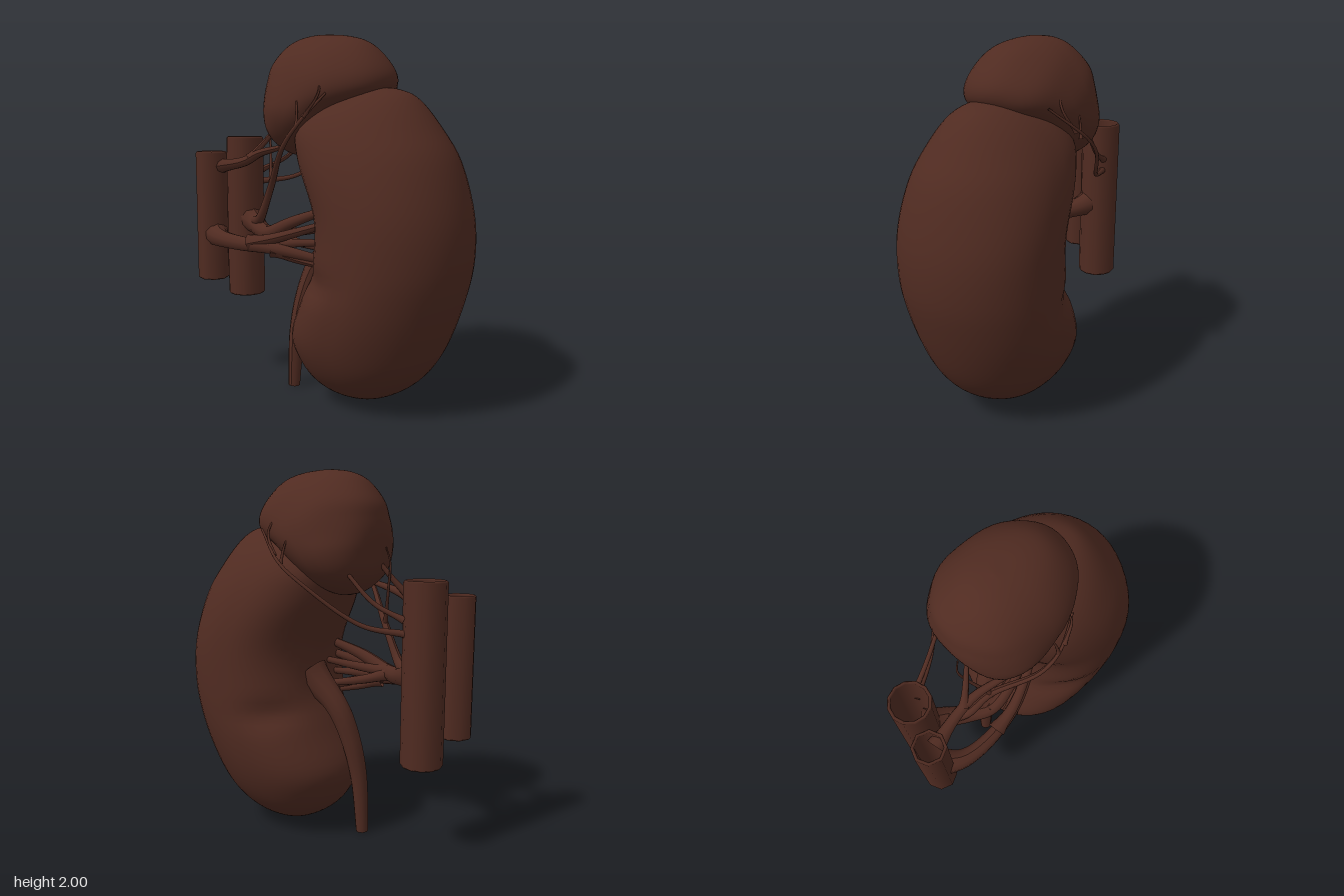
import * as THREE from 'three';

const tissue = new THREE.MeshStandardMaterial({ color: 0x502b21, side: THREE.DoubleSide });
tissue.name = 'brown tissue';

// Closed body from its outline rows [left x, right x, y], a depth rule and a surface rule
function loft(rows, depth, shape, steps = 60, sides = 48) {
  const outline = new THREE.CatmullRomCurve3(rows.map((r) => new THREE.Vector3(...r)), false, 'catmullrom');
  const pos = [], idx = [];
  for (let i = 0; i <= steps; i++) {
    const { x: left, y: right, z: y } = outline.getPoint(i / steps);
    for (let j = 0; j < sides; j++) {
      const a = (j / sides) * Math.PI * 2, c = Math.cos(a);
      // the inner side is fuller than an ellipse
      const across = c < 0 ? -((-c) ** 0.8) : c;
      const p = new THREE.Vector3((left + right) / 2 + ((right - left) / 2) * across, y, depth(y) * Math.sin(a));
      shape(p);
      pos.push(p.x, p.y, p.z);
      if (i < steps) {
        const k = i * sides + j, n = i * sides + ((j + 1) % sides);
        idx.push(k, k + sides, n, n, k + sides, n + sides);
      }
    }
  }
  const g = new THREE.BufferGeometry();
  g.setAttribute('position', new THREE.Float32BufferAttribute(pos, 3));
  g.setIndex(idx);
  g.computeVertexNormals();
  return g;
}

// Half depth of a dome-ended body
const dome = (max, u, power) => max * Math.sqrt(Math.max(0, 1 - Math.abs(u) ** power));

// Tube with a short flare at its root that narrows towards its end
function taperedTube(points, root, end, sides = 10) {
  const curve = new THREE.CatmullRomCurve3(points.map((p) => new THREE.Vector3(...p)));
  const seg = points.length * 7;
  const g = new THREE.TubeGeometry(curve, seg, 1, sides);
  const pos = g.attributes.position, v = new THREE.Vector3();
  for (let n = 0; n < pos.count; n++) {
    const t = Math.floor(n / (sides + 1)) / seg, c = curve.getPointAt(t);
    const r = THREE.MathUtils.lerp(root, end, t) + 0.45 * root * Math.max(0, 1 - 4 * t) ** 2;
    v.fromBufferAttribute(pos, n).sub(c).multiplyScalar(r).add(c);
    pos.setXYZ(n, v.x, v.y, v.z);
  }
  g.computeVertexNormals();
  return g;
}

// Hollow upright vessel with a rounded rim
function pipe(r, y0, y1, sides) {
  const inner = r - 0.018, rim = r - 0.008, e = 0.01;
  const profile = [[inner, y0 + e], [rim, y0], [r, y0 + e], [r, y1 - e], [rim, y1], [inner, y1 - e], [inner, y0 + e]];
  return new THREE.LatheGeometry(profile.map((p) => new THREE.Vector2(...p)), sides);
}

export function createModel() {
  const model = new THREE.Group();
  model.name = 'kidneyWithGland';
  const add = (name, geometry) => {
    const mesh = new THREE.Mesh(geometry, tissue);
    mesh.name = name;
    model.add(mesh);
    return mesh;
  };
  const vessel = (name, root, end, ...points) => add(name, taperedTube(points, root, end));

  // Bean-shaped kidney with a crease on both faces beside the hilum
  add('kidney', loft([
    [0.19, 0.21, 0.025], [0.07, 0.35, 0.05], [-0.06, 0.495, 0.13], [-0.14, 0.605, 0.24], [-0.18, 0.69, 0.39],
    [-0.09, 0.765, 0.61], [-0.015, 0.807, 0.82], [-0.01, 0.8, 1.06], [-0.13, 0.73, 1.33], [-0.16, 0.63, 1.5],
    [-0.02, 0.51, 1.65], [0.11, 0.41, 1.7], [0.26, 0.28, 1.72],
  ], (y) => dome(0.445, (y - 0.8725) / 0.8475, 2.8), (p) => {
    const crease = Math.exp(-(((p.x - 0.06) / 0.15) ** 2) - ((p.y - 0.71) / 0.07) ** 2);
    const hilum = Math.exp(-((p.z / 0.12) ** 2) - ((p.y - 0.9) / 0.14) ** 2);
    p.z *= 1 - 0.14 * crease;
    if (p.x < 0.2) p.x += 0.025 * hilum;
  }));

  // Adrenal gland capping the upper pole, slightly lumpy
  add('adrenalGland', loft([
    [-0.18, -0.16, 1.345], [-0.25, -0.09, 1.37], [-0.33, 0.04, 1.46], [-0.365, 0.19, 1.58], [-0.378, 0.33, 1.67],
    [-0.37, 0.37, 1.75], [-0.345, 0.335, 1.84], [-0.26, 0.235, 1.94], [-0.17, 0.11, 1.985], [-0.07, -0.05, 2],
  ], (y) => dome(0.325, (y - 1.62) / (y > 1.62 ? 0.38 : 0.275), 2), (p) => {
    const lump = 1 + 0.015 * Math.sin(p.x * 17 + p.y * 9) * Math.sin(p.z * 15 + p.y * 7);
    p.x *= lump;
    p.z *= lump;
  }));

  // Two great vessels, open at both ends
  add('rearGreatVessel', pipe(0.111, 0.495, 1.448, 12)).position.set(-0.643, 0, -0.015);
  add('frontGreatVessel', pipe(0.09, 0.615, 1.365, 8)).position.set(-0.725, 0, 0.188);

  // Ureter: wide funnel at the hilum narrowing downward
  vessel('ureter', 0.075, 0.034, [0.06, 0.9, -0.04], [-0.11, 0.73, -0.02], [-0.18, 0.55, 0.01], [-0.218, 0.33, 0.04], [-0.238, 0.005, 0.05]);
  const tip = add('ureterEnd', new THREE.CircleGeometry(0.034, 10));
  tip.rotation.x = Math.PI / 2;
  tip.position.set(-0.238, 0.006, 0.05);

  // Renal vein and its branches
  vessel('renalVein', 0.052, 0.022, [-0.69, 0.885, 0.2], [-0.6, 0.875, 0.26], [-0.46, 0.865, 0.285], [-0.2, 0.85, 0.26], [0.08, 0.79, 0.15]);
  vessel('renalVeinUpper', 0.035, 0.02, [-0.36, 0.87, 0.28], [-0.2, 0.91, 0.26], [0.08, 1, 0.15]);
  vessel('renalVeinMiddle', 0.028, 0.016, [-0.24, 0.86, 0.26], [-0.12, 0.88, 0.2], [0.08, 0.89, 0.12]);
  vessel('renalVeinLower', 0.028, 0.015, [-0.22, 0.84, 0.26], [-0.1, 0.8, 0.22], [0.08, 0.76, 0.16]);

  // Renal artery and its branches
  vessel('renalArtery', 0.06, 0.02, [-0.61, 0.97, 0], [-0.52, 0.94, 0.04], [-0.4, 0.915, 0.12], [-0.3, 0.92, 0.18], [-0.15, 0.99, 0.18], [0.08, 1.08, 0.12]);
  vessel('renalArteryMiddle', 0.03, 0.016, [-0.32, 0.92, 0.17], [-0.17, 0.93, 0.14], [0.08, 0.97, 0.06]);
  vessel('renalArteryLower', 0.03, 0.015, [-0.34, 0.91, 0.16], [-0.2, 0.87, 0.1], [0.08, 0.82, 0.03]);

  // Vessels rising to the gland
  vessel('lowerGlandArtery', 0.026, 0.006, [-0.5, 0.955, 0.06], [-0.42, 0.985, 0.12], [-0.29, 1.18, 0.18], [-0.09, 1.41, 0.33], [0.02, 1.53, 0.345], [0.15, 1.68, 0.29]);
  vessel('lowerGlandTwig', 0.011, 0.004, [-0.29, 1.18, 0.18], [-0.37, 1.4, 0.08], [-0.39, 1.52, 0.06], [-0.37, 1.6, 0.05]);
  vessel('glandVein', 0.036, 0.014, [-0.69, 1.275, 0.19], [-0.5, 1.31, 0.16], [-0.38, 1.36, 0.17], [-0.18, 1.4, 0.23]);
  vessel('glandVeinBranch', 0.02, 0.01, [-0.46, 1.33, 0.16], [-0.39, 1.42, 0.11], [-0.3, 1.56, 0.04]);
  vessel('rearGlandArtery', 0.014, 0.006, [-0.58, 1.18, -0.08], [-0.37, 1.22, -0.18], [-0.12, 1.43, -0.35], [0, 1.53, -0.375], [0.19, 1.69, -0.28]);
  vessel('middleGlandArtery', 0.014, 0.01, [-0.57, 1.25, -0.09], [-0.42, 1.33, -0.14], [-0.28, 1.48, -0.18]);

  // Fine twigs creeping over the front and back of the gland
  for (const side of [1, -1]) {
    vessel('glandTwig', 0.009, 0.004, [0.01, 1.52, 0.345 * side], [0, 1.6, 0.33 * side], [-0.01, 1.65, 0.315 * side]);
    vessel('glandTwig', 0.009, 0.004, [0.05, 1.56, 0.345 * side], [0.12, 1.68, 0.31 * side], [0.08, 1.79, 0.25 * side]);
  }

  return model;
}
